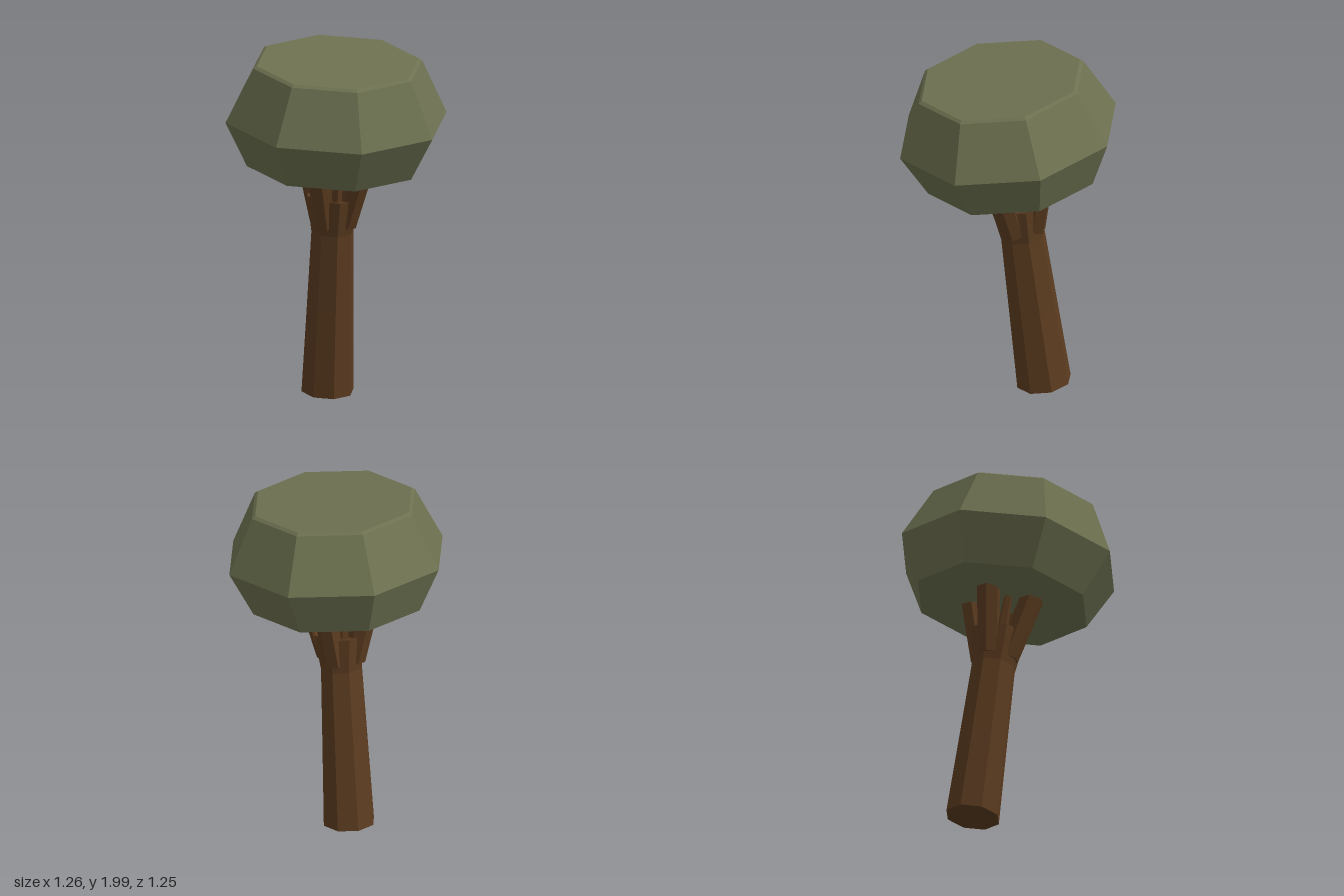
import * as THREE from 'three';

const leafMat = new THREE.MeshStandardMaterial({ color: 0x6d7150, flatShading: true });
const barkMat = new THREE.MeshStandardMaterial({ color: 0x5c3c20, flatShading: true });

// Eight-sided solid turned from [radius, height] pairs, listed bottom to top
function turned(name, profile, material) {
  const points = profile.map(([r, y]) => new THREE.Vector2(r, y));
  const mesh = new THREE.Mesh(new THREE.LatheGeometry(points, 8), material);
  mesh.name = name;
  return mesh;
}

// Tapered limb running from a to b
function limb(name, a, b, rA, rB, sides) {
  const dir = b.clone().sub(a);
  const mesh = new THREE.Mesh(new THREE.CylinderGeometry(rB, rA, dir.length(), sides), barkMat);
  mesh.position.copy(a).add(b).multiplyScalar(0.5);
  mesh.quaternion.setFromUnitVectors(new THREE.Vector3(0, 1, 0), dir.normalize());
  mesh.name = name;
  return mesh;
}

export function createModel() {
  const model = new THREE.Group();
  model.name = 'tree';

  // Whole tree leans forward along one axis
  const lean = new THREE.Group();
  lean.name = 'leaningTree';
  lean.position.set(0, 0.02, -0.207);
  lean.rotation.x = 0.13;
  model.add(lean);

  // Faceted canopy with a narrow bevel around its flat top
  lean.add(turned('canopy', [
    [0, 1.352], [0.5, 1.352], [0.63, 1.614], [0.482, 1.925], [0.462, 1.938], [0, 1.938],
  ], leafMat));

  // Trunk, slimmest below the fork and flaring into it
  const trunk = turned('trunk', [
    [0, 0.008], [0.148, 0.008], [0.133, 0.5], [0.12, 0.95], [0.138, 1.07], [0.15, 1.16], [0, 1.12],
  ], barkMat);
  trunk.scale.z = 1.05;
  lean.add(trunk);

  // Four stout branches spreading under the canopy
  for (const sx of [-1, 1]) {
    for (const sz of [-1, 1]) {
      lean.add(limb('branch',
        new THREE.Vector3(sx * 0.06, 1.0, sz * 0.06),
        new THREE.Vector3(sx * 0.13, 1.37, sz * 0.13), 0.06, 0.068, 6));
    }
  }

  // Thin twigs in the gaps between the branches
  for (let i = 0; i < 4; i++) {
    const t = i * Math.PI / 2;
    lean.add(limb('twig',
      new THREE.Vector3(Math.sin(t) * 0.06, 1.1, Math.cos(t) * 0.06),
      new THREE.Vector3(Math.sin(t) * 0.1, 1.37, Math.cos(t) * 0.1), 0.035, 0.022, 5));
  }
  return model;
}
